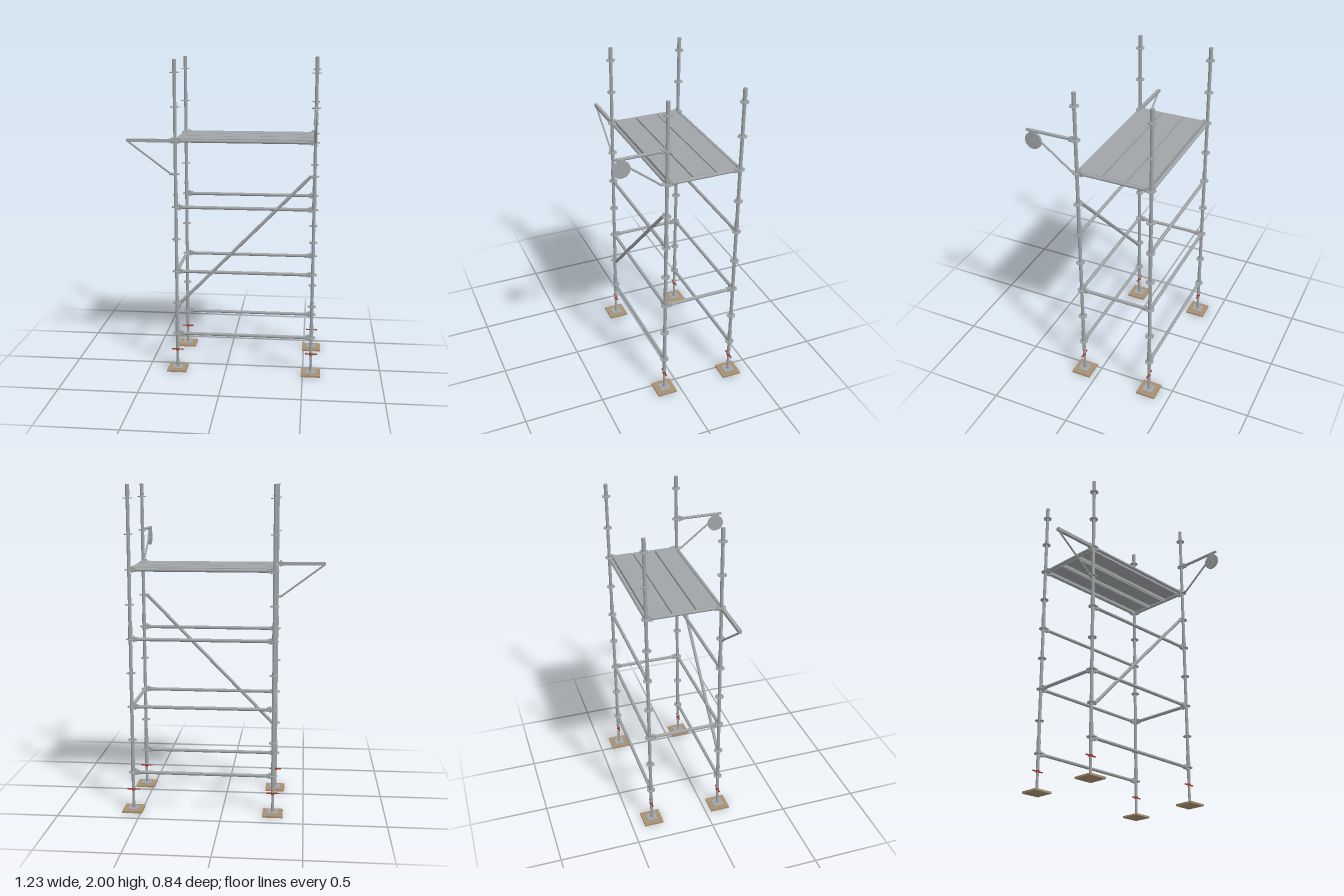
import * as THREE from 'three';

const steel = new THREE.MeshStandardMaterial({ color: 0xa0a4a6 });
steel.name = 'galvanised steel';
const wood = new THREE.MeshStandardMaterial({ color: 0xa89070 });
wood.name = 'timber';
const red = new THREE.MeshStandardMaterial({ color: 0xa8392e });
red.name = 'red paint';

const XL = -0.313, XR = 0.552, ZF = 0.098, ZB = -0.359;
const LEVEL0 = 0.246, STEP = 0.2092;
const level = (i) => LEVEL0 + i * STEP;
const V = (x, y, z) => new THREE.Vector3(x, y, z);

function add(parent, name, geometry, material, x = 0, y = 0, z = 0) {
  const mesh = new THREE.Mesh(geometry, material);
  mesh.name = name;
  mesh.position.set(x, y, z);
  parent.add(mesh);
  return mesh;
}

function box(parent, name, material, w, h, d, x, y, z) {
  return add(parent, name, new THREE.BoxGeometry(w, h, d), material, x, y, z);
}

// Round bar between two points
function bar(parent, name, a, b, radius, material = steel, sides = 14) {
  const dir = b.clone().sub(a);
  const mesh = add(parent, name, new THREE.CylinderGeometry(radius, radius, dir.length(), sides), material);
  mesh.position.copy(a).add(b).multiplyScalar(0.5);
  mesh.quaternion.setFromUnitVectors(V(0, 1, 0), dir.normalize());
  return mesh;
}

// Flat ring with eight wedge holes
function rosetteGeometry() {
  const disc = new THREE.Shape().absarc(0, 0, 0.027, 0, Math.PI * 2);
  for (let i = 0; i < 8; i++) {
    const a = (i * Math.PI) / 4;
    const r = i % 2 ? 0.0035 : 0.0028;
    disc.holes.push(new THREE.Path().absarc(Math.cos(a) * 0.019, Math.sin(a) * 0.019, r, 0, Math.PI * 2, true));
  }
  const g = new THREE.ExtrudeGeometry(disc, { depth: 0.005, bevelEnabled: false, curveSegments: 10 });
  return g.rotateX(-Math.PI / 2).translate(0, -0.0025, 0);
}

// Tapered wedge head clamped on a rosette; points along +x
function headGeometry() {
  const s = new THREE.Shape([[0.011, -0.006], [0.04, -0.011], [0.04, 0.011], [0.011, 0.006]].map(([x, y]) => new THREE.Vector2(x, y)));
  const g = new THREE.ExtrudeGeometry(s, { depth: 0.026, bevelEnabled: false });
  return g.rotateX(-Math.PI / 2).translate(0, -0.013, 0);
}

const rosette = rosetteGeometry();
const head = headGeometry();

function wedgeHead(parent, x, y, z, angle) {
  const g = new THREE.Group();
  g.name = 'wedgeHead';
  add(g, 'couplerHead', head, steel);
  box(g, 'wedgePin', steel, 0.009, 0.042, 0.003, 0.02, 0.001, 0);
  g.position.set(x, y, z);
  g.rotation.y = angle;
  parent.add(g);
}

// Horizontal tube with a wedge head at both ends
function ledger(parent, name, a, b) {
  const g = new THREE.Group();
  g.name = name;
  const d = b.clone().sub(a).normalize();
  const angle = Math.atan2(-d.z, d.x);
  bar(g, 'tube', a.clone().addScaledVector(d, 0.03), b.clone().addScaledVector(d, -0.03), 0.0105);
  wedgeHead(g, a.x, a.y, a.z, angle);
  wedgeHead(g, b.x, b.y, b.z, angle + Math.PI);
  parent.add(g);
}

// Standard with base jack, collars, rosettes and top spigot
function standard(parent, name, x, z) {
  const g = new THREE.Group();
  g.name = name;
  g.position.set(x, 0, z);
  box(g, 'soleBoard', wood, 0.124, 0.012, 0.124, 0, 0.006, 0);
  box(g, 'basePlate', steel, 0.066, 0.005, 0.066, 0, 0.0145, 0);
  bar(g, 'jackScrew', V(0, 0.016, 0), V(0, 0.2, 0), 0.0085);
  bar(g, 'jackNut', V(0, 0.128, 0), V(0, 0.142, 0), 0.0115, red, 8);
  box(g, 'jackHandle', red, 0.076, 0.006, 0.008, 0, 0.135, 0);
  bar(g, 'post', V(0, 0.142, 0), V(0, 1.94, 0), 0.0105);
  for (const y of [0.25, 1.085]) bar(g, 'sleeve', V(0, y, 0), V(0, y + 0.083, 0), 0.0128);
  bar(g, 'topSleeve', V(0, 1.93, 0), V(0, 2, 0), 0.0122);
  for (let i = 0; i < 9; i++) add(g, 'rosette', rosette, steel, 0, level(i), 0);
  parent.add(g);
}

// Deck board: thin sheet with turned-down lips and hooks
function plank(parent, z0, z1) {
  const g = new THREE.Group();
  g.name = 'deckPlank';
  const cx = (XL + XR) / 2, w = XR - XL, cz = (z0 + z1) / 2, d = z1 - z0;
  box(g, 'sheet', steel, w, 0.006, d, cx, 1.511, cz);
  for (const z of [z0 + 0.0025, z1 - 0.0025]) box(g, 'lip', steel, w - 0.024, 0.02, 0.005, cx, 1.499, z);
  for (const x of [XL + 0.014, XR - 0.014]) {
    box(g, 'endLip', steel, 0.004, 0.018, d, x, 1.5, cz);
  }
  parent.add(g);
}

// Side bracket: square arm with diagonal strut
function sideBracket(parent) {
  const g = new THREE.Group();
  g.name = 'sideBracket';
  const y = level(6), low = level(5);
  box(g, 'arm', steel, 0.28, 0.02, 0.02, -0.478, y, ZF);
  wedgeHead(g, XL, y, ZF, Math.PI);
  bar(g, 'strut', V(-0.608, y - 0.008, ZF), V(XL - 0.034, low + 0.006, ZF), 0.006);
  bar(g, 'strutFoot', V(XL - 0.038, low + 0.003, ZF), V(XL - 0.01, low, ZF), 0.008);
  parent.add(g);
}

// Hoist arm carrying a pulley wheel
function hoist(parent) {
  const g = new THREE.Group();
  g.name = 'hoistArm';
  const y = level(7), wy = 1.648, wz = 0.368;
  bar(g, 'arm', V(XR, y, ZF + 0.03), V(XR, y, 0.392), 0.0095);
  wedgeHead(g, XR, y, ZF, -Math.PI / 2);
  bar(g, 'strut', V(XR, y - 0.008, 0.388), V(XR, level(6) + 0.004, ZF + 0.036), 0.006);
  bar(g, 'strutFoot', V(XR, level(6) + 0.005, ZF + 0.04), V(XR, level(6), ZF + 0.01), 0.008);
  // Grooved wheel
  const profile = [[0, -0.007], [0.052, -0.007], [0.052, -0.005], [0.043, 0], [0.052, 0.005], [0.052, 0.007], [0, 0.007]];
  const wheel = new THREE.LatheGeometry(profile.map(([r, h]) => new THREE.Vector2(r, h)), 32).toNonIndexed();
  wheel.computeVertexNormals();
  add(g, 'pulleyWheel', wheel, steel, XR, wy, wz).rotation.z = Math.PI / 2;
  for (const s of [-1, 1]) {
    box(g, 'pulleyCheek', steel, 0.003, 0.075, 0.026, XR + s * 0.01, 1.675, wz);
    box(g, 'endProng', steel, 0.003, 0.012, 0.024, XR + s * 0.005, y, 0.398);
  }
  bar(g, 'axle', V(XR - 0.015, wy, wz), V(XR + 0.015, wy, wz), 0.006);
  parent.add(g);
}

export function createModel() {
  const model = new THREE.Group();
  model.name = 'scaffoldTower';

  for (const [xn, x] of [['Left', XR], ['Right', XL]]) {
    for (const [zn, z] of [['front', ZF], ['back', ZB]]) standard(model, `${zn}${xn}Standard`, x, z);
  }

  // Long ledgers front and back, short transoms at two levels
  for (const i of [0, 2, 4, 6]) {
    for (const z of [ZF, ZB]) ledger(model, 'ledger', V(XL, level(i), z), V(XR, level(i), z));
  }
  for (const i of [2, 6]) {
    for (const x of [XL, XR]) ledger(model, 'transom', V(x, level(i), ZB), V(x, level(i), ZF));
  }

  // Diagonal brace with flattened ends
  const a = V(XL + 0.03, level(1) + 0.006, ZF), b = V(XR - 0.03, level(5) - 0.006, ZF);
  bar(model, 'diagonalBrace', a, b, 0.0105);
  box(model, 'braceEnd', steel, 0.03, 0.018, 0.012, XL + 0.022, level(1) + 0.003, ZF);
  box(model, 'braceEnd', steel, 0.03, 0.018, 0.012, XR - 0.022, level(5) - 0.003, ZF);

  // Working platform
  for (const [z0, z1] of [[-0.34, -0.209], [-0.201, -0.064], [-0.054, 0.079]]) plank(model, z0, z1);

  sideBracket(model);
  hoist(model);
  return model;
}
